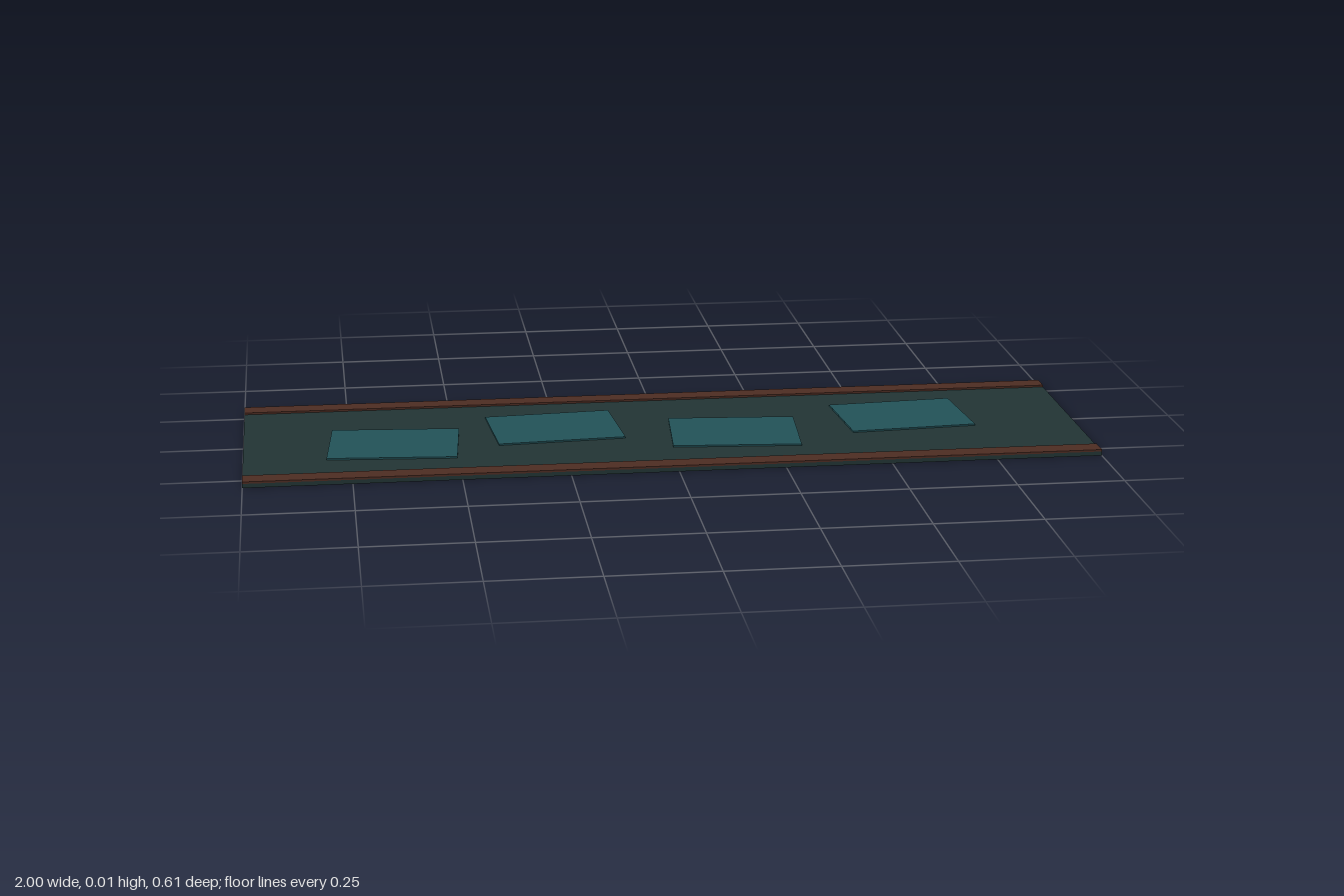
import * as THREE from 'three';

export function createModel() {
  const model = new THREE.Group();
  const material = (name, color) => {
    const m = new THREE.MeshStandardMaterial({ color });
    m.name = name;
    return m;
  };
  const darkSlate = material('darkSlate', 0x223535);
  const teal = material('teal', 0x235359);
  const rust = material('rust', 0x4e2d23);

  // Box given by its size, its underside height and its centre on the ground
  function slab(name, mat, w, h, d, x, bottom, z, turn = 0) {
    const mesh = new THREE.Mesh(new THREE.BoxGeometry(w, h, d), mat);
    mesh.name = name;
    mesh.position.set(x, bottom + h / 2, z);
    mesh.rotation.y = turn;
    model.add(mesh);
  }

  // Long flat base
  slab('basePanel', darkSlate, 2, 0.0098, 0.608, 0, 0, 0);

  // Raised strips along both long edges
  for (const side of [-1, 1]) {
    slab(side > 0 ? 'frontEdgeStrip' : 'backEdgeStrip', rust, 2, 0.0047, 0.049, 0, 0.0098, side * 0.2795);
  }

  // Thin patches, staggered and turned alternately
  [-0.647, -0.258, 0.166, 0.592].forEach((x, i) => {
    const s = i % 2 ? -1 : 1;
    slab(`patch${i + 1}`, teal, 0.304, 0.0038, 0.23, x, 0.0106, s * 0.044, -s * 0.075);
  });

  return model;
}
